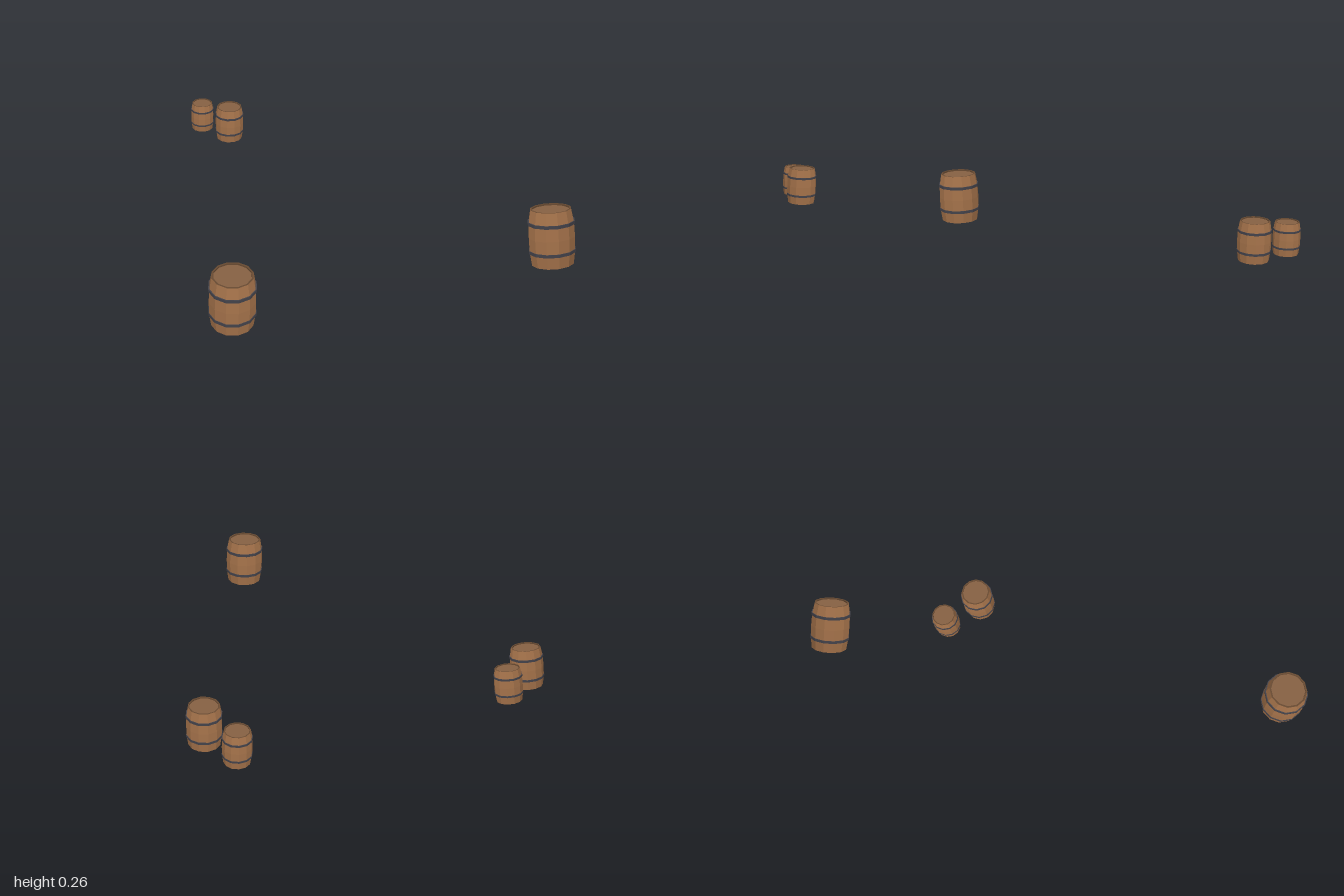
import * as THREE from 'three';

const SIDES = 12;

const mat = (name, color) => {
  const m = new THREE.MeshStandardMaterial({ color });
  m.name = name;
  return m;
};

// Faceted solid of revolution from [radius, height] pairs
function lathe(points) {
  const g = new THREE.LatheGeometry(points.map(([r, y]) => new THREE.Vector2(r, y)), SIDES).toNonIndexed();
  g.computeVertexNormals();
  return g;
}

export function createModel() {
  const wood = mat('stave wood', 0xa4724a);
  const lidWood = mat('lid wood', 0x856043);
  const rimWood = mat('rim wood', 0x684a31);
  const iron = mat('dark iron', 0x43424a);

  const staves = lathe([[0.099, 0], [0.1078, 0.065], [0.1092, 0.133], [0.1068, 0.2], [0.0955, 0.265]]);
  const rim = lathe([[0.0955, 0.265], [0.087, 0.265], [0.087, 0.257]]);
  const lid = new THREE.CircleGeometry(0.087, SIDES).rotateX(-Math.PI / 2).translate(0, 0.257, 0);
  const base = new THREE.CircleGeometry(0.099, SIDES).rotateX(Math.PI / 2);
  const hoop = lathe([[0.103, -0.0075], [0.1108, -0.0075], [0.1108, 0.0075], [0.103, 0.0075]]);

  function barrel(name, x, z, scale, turn) {
    const g = new THREE.Group();
    g.name = name;
    const add = (part, geometry, material, y = 0) => {
      const m = new THREE.Mesh(geometry, material);
      m.name = part;
      m.position.y = y;
      g.add(m);
    };
    add('staves', staves, wood);
    add('rim', rim, rimWood);
    add('lid', lid, lidWood);
    add('base', base, lidWood);
    add('lowerHoop', hoop, iron, 0.065);
    add('upperHoop', hoop, iron, 0.201);
    g.position.set(x, 0, z);
    g.scale.setScalar(scale);
    g.rotation.y = turn;
    return g;
  }

  const model = new THREE.Group();
  model.name = 'barrels';
  model.add(
    barrel('largeBarrel', -0.194, 0.889, 1, 0),
    barrel('mediumBarrel', 0.2195, -0.774, 0.768, 0.12),
    barrel('smallBarrel', 0.0885, -0.931, 0.632, 0)
  );
  return model;
}
